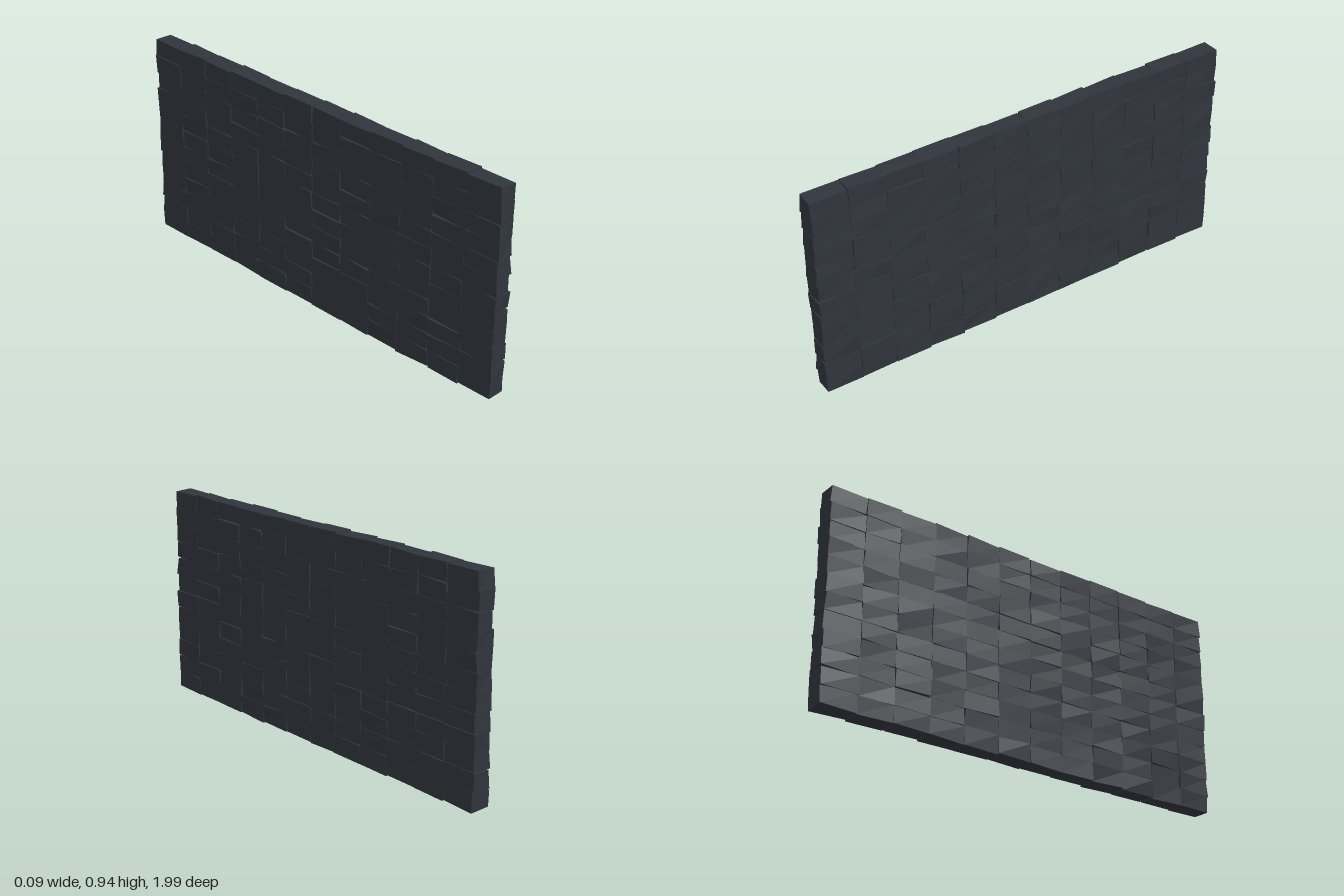
import * as THREE from 'three';

const ROWS = 12, COLUMNS = 12;
const PITCH_Y = 0.0779, PITCH_Z = 0.165, DEPTH = 0.08;
const JITTER = 0.0045;

// small seeded generator, -1 to 1
function makeRandom(seed) {
  let s = seed;
  return () => {
    s = (Math.imul(s, 1664525) + 1013904223) >>> 0;
    return s / 2147483648 - 1;
  };
}

// a box whose eight corners are each nudged a little, for a hand-cut brick
function brickGeometry(random) {
  const geometry = new THREE.BoxGeometry(DEPTH, PITCH_Y, PITCH_Z);
  const nudges = Array.from({ length: 8 }, () =>
    new THREE.Vector3(random(), random(), random()).multiplyScalar(JITTER));
  const position = geometry.attributes.position;
  const v = new THREE.Vector3();
  for (let i = 0; i < position.count; i++) {
    v.fromBufferAttribute(position, i);
    const corner = (v.x > 0 ? 1 : 0) + (v.y > 0 ? 2 : 0) + (v.z > 0 ? 4 : 0);
    v.add(nudges[corner]);
    position.setXYZ(i, v.x, v.y, v.z);
  }
  geometry.computeVertexNormals();
  return geometry;
}

export function createModel() {
  const wall = new THREE.Group();
  wall.name = 'brickWall';
  const material = new THREE.MeshStandardMaterial({ color: 0x30343c, flatShading: true });
  const random = makeRandom(7);

  // bricks stacked in straight courses and columns
  for (let row = 0; row < ROWS; row++) {
    const course = new THREE.Group();
    course.name = `course${row + 1}`;
    course.position.y = 0.006 + (row + 0.5) * PITCH_Y;
    for (let column = 0; column < COLUMNS; column++) {
      const brick = new THREE.Mesh(brickGeometry(random), material);
      brick.name = `brick${column + 1}`;
      brick.position.z = (column - (COLUMNS - 1) / 2) * PITCH_Z;
      course.add(brick);
    }
    wall.add(course);
  }
  return wall;
}
